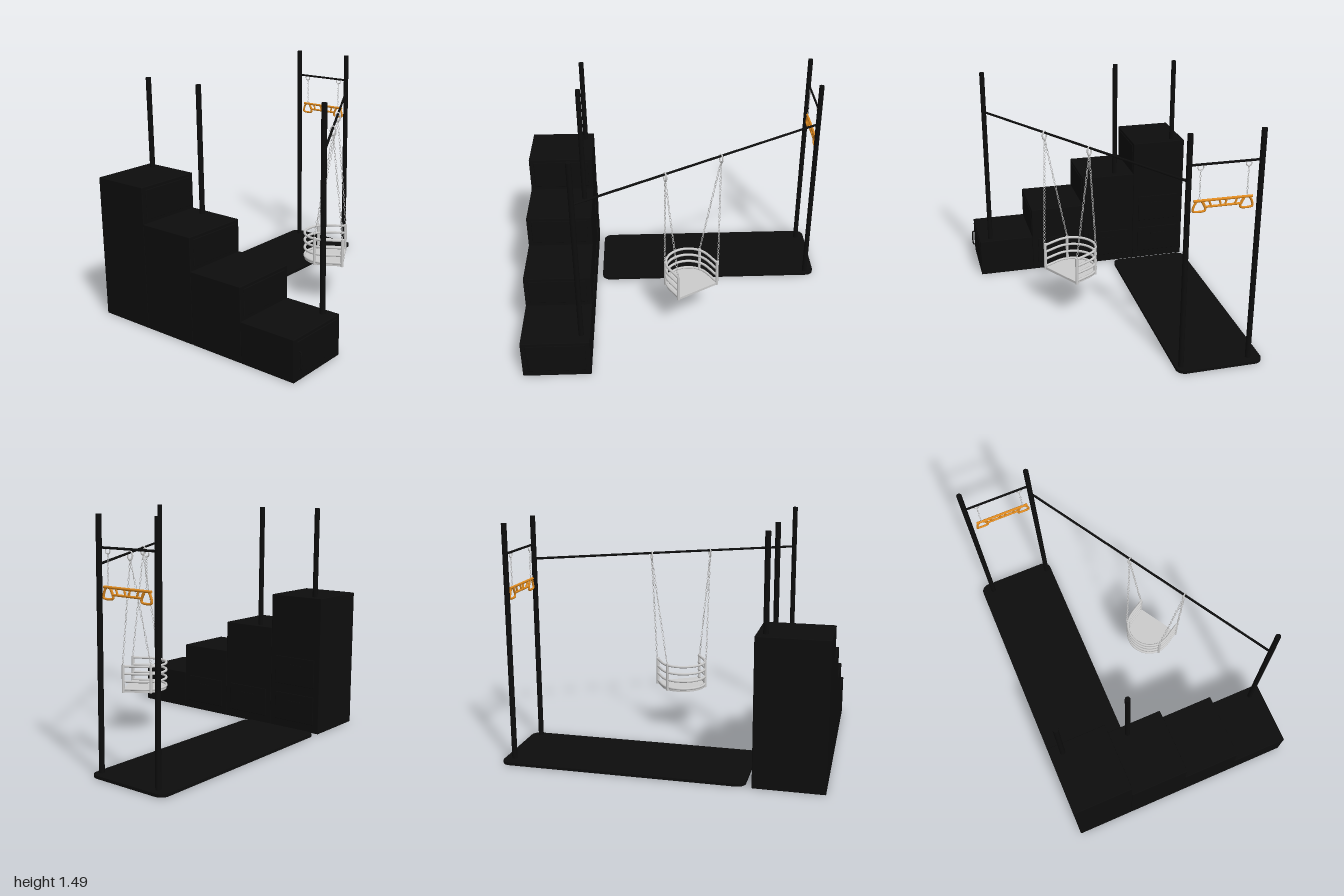
import * as THREE from 'three';
import { mergeGeometries } from 'three/addons/utils/BufferGeometryUtils.js';
import { RoundedBoxGeometry } from 'three/addons/geometries/RoundedBoxGeometry.js';

const V = (x, y, z) => new THREE.Vector3(x, y, z);
const black = new THREE.MeshStandardMaterial({ color: 0x0d0d0d });
const orange = new THREE.MeshStandardMaterial({ color: 0xe08a1e });
const grey = new THREE.MeshStandardMaterial({ color: 0xcccccc });

function add(parent, name, geometry, material, x = 0, y = 0, z = 0) {
  const mesh = new THREE.Mesh(geometry, material);
  mesh.name = name;
  mesh.position.set(x, y, z);
  parent.add(mesh);
  return mesh;
}

// Straight round bar between two points
function bar(parent, name, a, b, r, material, sides = 14) {
  const d = b.clone().sub(a);
  const mesh = add(parent, name, new THREE.CylinderGeometry(r, r, d.length(), sides), material);
  mesh.position.copy(a).add(b).multiplyScalar(0.5);
  mesh.quaternion.setFromUnitVectors(V(0, 1, 0), d.normalize());
  return mesh;
}

// Bent rod through a few points
function rod(parent, name, points, r, material, closed = false, steps = 40) {
  const curve = new THREE.CatmullRomCurve3(points, closed, 'centripetal');
  return add(parent, name, new THREE.TubeGeometry(curve, steps, r, 8, closed), material);
}

// Chain of oval links, each turned a quarter against its neighbour
function chain(parent, name, a, b, size = 1) {
  const d = b.clone().sub(a), n = Math.round(d.length() / (0.021 * size));
  const q = new THREE.Quaternion().setFromUnitVectors(V(0, 1, 0), d.clone().normalize());
  const links = [];
  for (let i = 0; i < n; i++) {
    const link = new THREE.TorusGeometry(0.0105 * size, 0.0022 * size, 5, 10);
    link.scale(0.6, 1.05, 1);
    link.rotateY((i % 2) * Math.PI / 2);
    link.applyQuaternion(q);
    const p = a.clone().addScaledVector(d, (i + 0.5) / n);
    links.push(link.translate(p.x, p.y, p.z));
  }
  add(parent, name, mergeGeometries(links), grey);
}

function buildStairs() {
  const stairs = new THREE.Group();
  stairs.name = 'stairCabinet';
  const heights = [0.91, 0.68, 0.47, 0.26], drawers = [2, 1, 1, 0], w = 0.38;
  heights.forEach((h, i) => {
    const x = -0.77 + w * (i + 0.5);
    add(stairs, 'step', new RoundedBoxGeometry(w, h, 0.43, 2, 0.004), black, x, h / 2, 0.785);
    // Panel on the open end of each step
    const low = heights[i + 1] ?? 0.02, ph = h - low - 0.04;
    add(stairs, 'endPanel', new RoundedBoxGeometry(0.008, ph, 0.37, 2, 0.003), black,
      x + w / 2, (h + low) / 2, 0.785);
    // Drawer fronts with slim pulls on the play side
    for (let r = 0; r < drawers[i]; r++) {
      const y = 0.15 + r * 0.25;
      add(stairs, 'drawerFront', new RoundedBoxGeometry(0.3, 0.19, 0.01, 2, 0.003), black, x, y, 0.57);
      add(stairs, 'drawerPull', new THREE.BoxGeometry(0.1, 0.01, 0.006), black, x, y + 0.04, 0.564);
    }
  });
  rod(stairs, 'endHandle', [V(0.75, 0.07, 0.955), V(0.763, 0.07, 0.955), V(0.767, 0.08, 0.955),
    V(0.767, 0.165, 0.955), V(0.763, 0.175, 0.955), V(0.75, 0.175, 0.955)], 0.005, black);
  return stairs;
}

function buildMat() {
  const x0 = -0.77, x1 = -0.225, z0 = -1, z1 = 0.53, r = 0.055;
  const s = new THREE.Shape();
  s.absarc(x1 - r, z1 - r, r, 0, Math.PI / 2);
  s.absarc(x0 + r, z1 - r, r, Math.PI / 2, Math.PI);
  s.absarc(x0 + r, z0 + r, r, Math.PI, Math.PI * 1.5);
  s.absarc(x1 - r, z0 + r, r, Math.PI * 1.5, Math.PI * 2);
  const g = new THREE.ExtrudeGeometry(s, { depth: 0.018, bevelEnabled: false, curveSegments: 10 });
  g.rotateX(Math.PI / 2);
  const mesh = new THREE.Mesh(g, black);
  mesh.name = 'floorMat';
  mesh.position.y = 0.02;
  return mesh;
}

function buildTrapeze() {
  const t = new THREE.Group();
  t.name = 'trapeze';
  t.position.set(-0.47, 0, -0.94);
  bar(t, 'upperBar', V(-0.175, 1.092, 0), V(0.175, 1.092, 0), 0.008, orange);
  bar(t, 'lowerBar', V(-0.11, 1.053, 0), V(0.11, 1.053, 0), 0.007, orange);
  for (const s of [-1, 1]) {
    // Triangular hand grip, hung on a chain and a ring
    const x = s * 0.142;
    rod(t, 'handGrip', [V(x - 0.033, 1.03, 0), V(x + 0.033, 1.03, 0), V(x + 0.037, 1.04, 0),
      V(x + 0.014, 1.09, 0), V(x - 0.014, 1.09, 0), V(x - 0.037, 1.04, 0)], 0.007, orange, true, 48);
    for (const [top, low] of [[0.085, 0.07], [0.022, 0.012]])
      bar(t, 'brace', V(s * top, 1.092, 0), V(s * low, 1.053, 0), 0.006, orange);
    bar(t, 'barEnd', V(s * 0.125, 1.085, 0), V(s * 0.108, 1.053, 0), 0.007, orange);
    chain(t, 'trapezeChain', V(x, 1.1, 0), V(x, 1.28, 0), 0.75);
    add(t, 'hangerRing', new THREE.TorusGeometry(0.017, 0.0035, 8, 20), grey, x, 1.292, 0);
  }
  return t;
}

// Swing in its own frame: x along the beam, z towards the rounded back
function buildSwing() {
  const swing = new THREE.Group();
  swing.name = 'bucketSwing';
  swing.position.set(0.245, 0, -0.09);
  swing.rotation.y = -Math.atan2(0.859, 0.512);
  const R = 0.15, front = -0.07, mid = 0.045;

  // D-shaped seat plate
  const s = new THREE.Shape();
  s.moveTo(-R, front);
  s.lineTo(R, front);
  s.absarc(0, mid, R, 0, Math.PI);
  s.closePath();
  const plate = new THREE.ExtrudeGeometry(s, { depth: 0.016, bevelEnabled: false, curveSegments: 24 });
  plate.rotateX(Math.PI / 2);
  add(swing, 'seat', plate, grey, 0, 0.3, 0);

  // Four rails round the sides and back, open at the front
  const path = [V(-R, 0, front), V(-R, 0, -0.02)];
  for (let i = 0; i <= 12; i++) {
    const a = Math.PI * (1 - i / 12);
    path.push(V(R * Math.cos(a), 0, mid + R * Math.sin(a)));
  }
  path.push(V(R, 0, -0.02), V(R, 0, front));
  for (const y of [0.305, 0.358, 0.41, 0.46])
    rod(swing, 'rail', path, 0.0085, grey, false, 60).position.y = y;

  // Posts, with a chain from each up to the hanger on its side
  for (const side of [-1, 1]) {
    const hook = V(side * 0.206, 1.175, 0);
    for (const [x, z] of [[0.152, -0.065], [0.135, 0.117]]) {
      bar(swing, 'post', V(side * x, 0.283, z), V(side * x, 0.47, z), 0.01, grey);
      chain(swing, 'swingChain', V(side * x * 1.03, 0.47, z * 1.03), hook);
    }
    const ring = add(swing, 'hanger', new THREE.TorusGeometry(0.016, 0.005, 8, 20), grey, side * 0.206, 1.195, 0);
    ring.scale.y = 1.6;
    ring.rotation.y = Math.PI / 2;
  }
  return swing;
}

export function createModel() {
  const model = new THREE.Group();
  model.name = 'playSet';
  model.add(buildStairs(), buildMat(), buildTrapeze(), buildSwing());

  // Poles on the steps and on the mat, all to one height
  const poles = [[-0.69, 0.91, 0.625], [-0.26, 0.68, 0.625], [0.67, 0.26, 0.625],
    [-0.69, 0.01, -0.94], [-0.26, 0.01, -0.94]];
  for (const [x, y, z] of poles)
    bar(model, 'pole', V(x, y - 0.005, z), V(x, 1.49, z), 0.0165, black, 24);

  // Beams for the trapeze and the swing
  bar(model, 'trapezeBeam', V(-0.69, 1.308, -0.94), V(-0.26, 1.308, -0.94), 0.007, black);
  bar(model, 'swingBeam', V(-0.26, 1.215, -0.94), V(0.67, 1.215, 0.625), 0.0075, black);
  return model;
}
